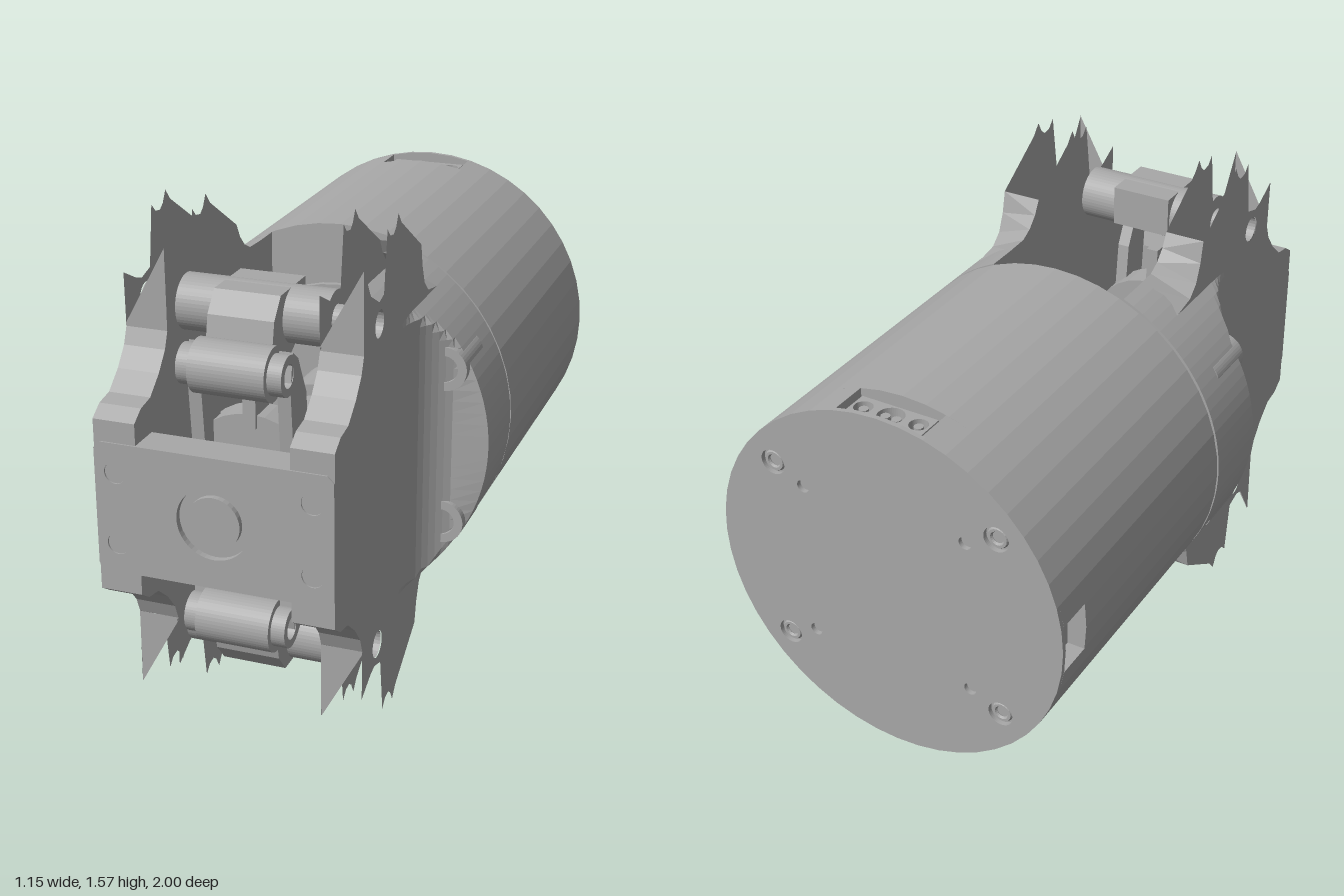
import * as THREE from 'three';
import { ParametricGeometry } from 'three/addons/geometries/ParametricGeometry.js';

const C = 0.797, R = 0.575; // axis height, body radius
const grey = new THREE.MeshStandardMaterial({ color: 0xa8a8a8, side: THREE.DoubleSide, flatShading: true });
grey.name = 'grey';

function add(parent, name, geo, x = 0, y = 0, z = 0) {
  const m = new THREE.Mesh(geo, grey);
  m.name = name;
  m.position.set(x, y, z);
  parent.add(m);
  return m;
}
const poly = pts => new THREE.Shape(pts.map(p => new THREE.Vector2(p[0], p[1])));
const circle = (x, y, r) => new THREE.Path().absarc(x, y, r, 0, Math.PI * 2, true);
function disc(x, y, r, hole) {
  const s = new THREE.Shape().absarc(x, y, r, 0, Math.PI * 2, false);
  if (hole) s.holes.push(circle(x, y, hole));
  return s;
}
const extrude = (shape, depth) => new THREE.ExtrudeGeometry(shape, { depth, bevelEnabled: false, curveSegments: 24 });
// a (z, y) shape extruded along x, from x0 to x1
const extrudeX = (shape, x0, x1) => extrude(shape, x1 - x0).rotateY(-Math.PI / 2).translate(x1, 0, 0);
// cylinder along z, from z0 to z1
const rod = (r, z0, z1, n = 32) =>
  new THREE.CylinderGeometry(r, r, z1 - z0, n).rotateX(Math.PI / 2).translate(0, 0, (z0 + z1) / 2);
// strip between two lists of [x, y, z] points
function strip(a, b) {
  const pos = [], idx = [];
  a.forEach((p, i) => {
    pos.push(...p, ...b[i]);
    const k = i * 2;
    if (i) idx.push(k - 2, k - 1, k, k - 1, k + 1, k);
  });
  const g = new THREE.BufferGeometry();
  g.setAttribute('position', new THREE.Float32BufferAttribute(pos, 3));
  g.setIndex(idx);
  g.computeVertexNormals();
  return g;
}

// Motor body with connector pockets near the back
function motor(root) {
  const g = new THREE.Group();
  g.name = 'motor';
  root.add(g);
  add(g, 'motorShell', rod(R, -0.87, -0.03, 48));
  const pockets = [[Math.PI / 2, 0.14], [Math.PI, 0.08], [Math.PI * 1.5, 0.14]];
  const pts = [];
  const put = (r, a) => pts.push([r * Math.cos(a), r * Math.sin(a)]);
  for (let i = 0; i < 48; i++) {
    const a = (i / 48) * Math.PI * 2;
    const p = pockets.find(q => Math.abs(a - q[0]) <= Math.asin(q[1] / R) + 0.03);
    if (!p) put(R, a);
    else if (Math.abs(a - p[0]) < 0.01) {
      const o = Math.asin(p[1] / R), f = Math.atan(p[1] / 0.5), fr = Math.hypot(0.5, p[1]);
      put(R, a - o);
      put(fr, a - f);
      put(fr, a + f);
      put(R, a + o);
    }
  }
  add(g, 'connectorBand', extrude(poly(pts), 0.115), 0, 0, -0.985);

  // back cover with screw holes
  const cap = disc(0, 0, R);
  for (const sx of [-1, 1]) for (const sy of [-1, 1]) {
    cap.holes.push(circle(sx * 0.37, sy * 0.31, 0.04), circle(sx * 0.27, sy * 0.26, 0.02));
    add(g, 'coverScrew', new THREE.TorusGeometry(0.026, 0.008, 6, 20), sx * 0.37, sy * 0.31, -0.988);
  }
  add(g, 'backCover', extrude(cap, 0.015), 0, 0, -1);

  // sockets in the upper and lower pockets
  for (const s of [1, -1]) {
    const c = new THREE.Group();
    c.name = 'connector';
    c.rotation.z = s > 0 ? 0 : Math.PI;
    g.add(c);
    const face = poly([[-0.125, -0.045], [0.125, -0.045], [0.125, 0.045], [-0.125, 0.045]]);
    for (const x of [-0.09, 0, 0.09]) face.holes.push(circle(x, 0, x ? 0.028 : 0.04));
    add(c, 'connectorFace', extrude(face, 0.04).rotateX(-Math.PI / 2), 0, 0.505, -0.93);
    for (const x of [-0.09, -0.018, 0.018, 0.09])
      add(c, 'connectorPin', new THREE.CylinderGeometry(0.014, 0.014, 0.04, 12), x, 0.52, -0.93);
  }
  add(g, 'sideSocket', new THREE.BoxGeometry(0.03, 0.11, 0.06), -0.515, 0, -0.925);
}

// One gripper side: rounded shoulder, jagged double-walled plate, screws
function sidePiece() {
  const g = new THREE.Group();
  g.name = 'sidePiece';
  const xi = 0.23, xo = 0.358, A = Math.acos(xi / R), f = 0.2;
  // shoulder: a cylinder slice that narrows through a concave fillet to the plate
  const rows = [[-0.02, R], [0.235, R]];
  for (let i = 1; i <= 10; i++) {
    const t = 0.38 + (i / 10) * (Math.PI / 2 - 0.38);
    rows.push([0.43 - f * Math.cos(t), 0.56 - f * Math.sin(t)]);
  }
  add(g, 'shoulder', new ParametricGeometry((u, v, out) => {
    const [z, X] = rows[Math.round(v * (rows.length - 1))], a = A * (2 * u - 1);
    out.set(Math.min(X, R * Math.cos(a)), R * Math.sin(a), z);
  }, 36, rows.length - 1));
  add(g, 'shoulderBack', new THREE.ShapeGeometry(new THREE.Shape().absarc(0, 0, R, -A, A, false), 36), 0, 0, -0.02);

  // plate walls, z and y; the tall front tooth differs between walls
  const nose = [[0.995, 0.265], [0.95, 0.295], [0.89, 0.305], [0.83, 0.355], [0.785, 0.41], [0.765, 0.46]];
  const teeth = [[0.69, 0.58], [0.655, 0.57], [0.60, 0.585], [0.575, 0.765], [0.55, 0.74], [0.52, 0.735],
    [0.50, 0.75], [0.48, 0.785], [0.45, 0.75], [0.26, 0.63]];
  const flareIn = [[0.26, 0.63], [0.235, 0.585], [0.2, 0.55], [0.16, 0.53], [0.08, 0.527]];
  const flareOut = [[0.26, 0.63], [0.245, 0.56], [0.22, 0.5], [0.18, 0.465], [0.08, 0.448]];
  const half = (tall, flare) => [...nose, [0.768, tall ? 0.705 : 0.62], ...teeth, ...flare.slice(1)];
  const flip = pts => pts.map(([z, y]) => [z, -y]).reverse();
  const wall = (x, tallTop, flare, end) => {
    const s = poly([...half(tallTop, flare), [end, flare[4][1]], [end, -flare[4][1]], ...flip(half(!tallTop, flare))]);
    for (const y of [-0.508, 0.508]) s.holes.push(circle(0.63, y, 0.042));
    return new THREE.ShapeGeometry(s, 24).rotateY(-Math.PI / 2).translate(x, 0, 0);
  };
  add(g, 'outerWall', wall(xo, true, flareOut, 0.06));
  add(g, 'innerWall', wall(xi, false, flareIn, -0.02));

  // front rim, rear flare and tooth faces joining the walls
  const rim = [...nose].reverse().concat(nose.map(([z, y]) => [z, -y]));
  add(g, 'frontRim', strip(rim.map(([z, y]) => [xo, y, z]), rim.map(([z, y]) => [xi, y, z])));
  for (const s of [1, -1]) {
    add(g, 'rearFlare', strip(flareIn.map(([z, y]) => [xi, s * y, z]), flareOut.map(([z, y]) => [xo, s * y, z])));
    const tip = s > 0 ? xo : xi, low = s > 0 ? xi : xo;
    add(g, 'toothFace', strip([[xi, s * 0.46, 0.766], [tip, s * 0.705, 0.766]],
      [[xo, s * 0.46, 0.766], [low, s * 0.47, 0.766]]));
    // shoulder screws
    add(g, 'screwSeat', extrude(disc(0.44, s * 0.253, 0.07, 0.042), 0.18), 0, 0, 0.09);
    add(g, 'screwSocket', extrude(disc(0.44, s * 0.253, 0.042, 0.025), 0.14), 0, 0, 0.1);
    add(g, 'screwCore', rod(0.03, 0.1, 0.2, 16), 0.44, s * 0.253, 0);
  }
  return g;
}

// One finger: pivot tube, arm block, roller and links
function finger() {
  const g = new THREE.Group();
  g.name = 'finger';
  const py = 0.508, pz = 0.63, ry = 0.393, rz = 0.815;
  const axle = new THREE.CylinderGeometry(0.042, 0.042, 0.71, 24, 1, true).rotateZ(Math.PI / 2);
  add(g, 'axle', axle, 0, py, pz);
  add(g, 'pivotSleeve', extrudeX(disc(pz, py, 0.084, 0.042), -0.228, 0.228));
  const arm = poly([[0.535, 0.59], [0.725, 0.59], [0.775, 0.53], [0.79, 0.46], [0.83, 0.4],
    [0.78, 0.33], [0.7, 0.37], [0.535, 0.46]]);
  arm.holes.push(circle(pz, py, 0.042));
  add(g, 'armBlock', extrudeX(arm, -0.1, 0.1));
  add(g, 'roller', extrudeX(disc(rz, ry, 0.08, 0.035), -0.115, 0.115));
  for (const s of [-1, 1]) {
    const x = s * 0.136;
    add(g, 'rollerCollar', extrudeX(disc(rz, ry, 0.06, 0.035), x - 0.022, x + 0.022));
    const link = poly([[0.74, 0.42], [0.78, 0.45], [0.8, 0.34], [0.78, 0.12], [0.66, 0.12], [0.68, 0.3]]);
    add(g, 'link', extrudeX(link, x - 0.02, x + 0.02));
  }
  add(g, 'web', new THREE.BoxGeometry(0.04, 0.16, 0.1), 0, 0.26, 0.68);
  return g;
}

export function createModel() {
  const model = new THREE.Group();
  model.name = 'motorGripper';
  const root = new THREE.Group();
  root.name = 'assembly';
  root.position.y = C;
  model.add(root);
  motor(root);

  // matching halves, turned half a turn about the axis
  for (const turn of [0, Math.PI]) {
    for (const part of [sidePiece(), finger()]) {
      part.rotation.z = turn;
      root.add(part);
    }
  }

  // central drive
  add(root, 'flange', rod(0.38, -0.04, -0.01, 40));
  add(root, 'hubDisc', rod(0.22, -0.01, 0.02));
  add(root, 'hub', rod(0.12, 0.02, 0.21));
  add(root, 'shaft', rod(0.083, 0.2, 0.9));
  add(root, 'slider', rod(0.22, 0.62, 0.72));

  // front block with screw holes and a centre bearing
  const w = 0.358, h = 0.2, c = 0.02;
  const front = poly([[-w, -h + c], [-w + c, -h], [w - c, -h], [w, -h + c], [w, h - c], [w - c, h], [-w + c, h], [-w, h - c]]);
  front.holes.push(circle(0, 0, 0.11));
  for (const sx of [-1, 1]) for (const sy of [-1, 1]) front.holes.push(circle(sx * 0.295, sy * 0.11, 0.033));
  add(root, 'frontBlock', extrude(front, 0.11), 0, 0, 0.89);
  add(root, 'bearingSeat', rod(0.11, 0.89, 0.98));
  add(root, 'bearingCore', rod(0.08, 0.97, 0.998));
  for (const sx of [-1, 1]) for (const sy of [-1, 1])
    add(root, 'frontScrew', rod(0.033, 0.9, 0.98, 20), sx * 0.295, sy * 0.11, 0);
  return model;
}
